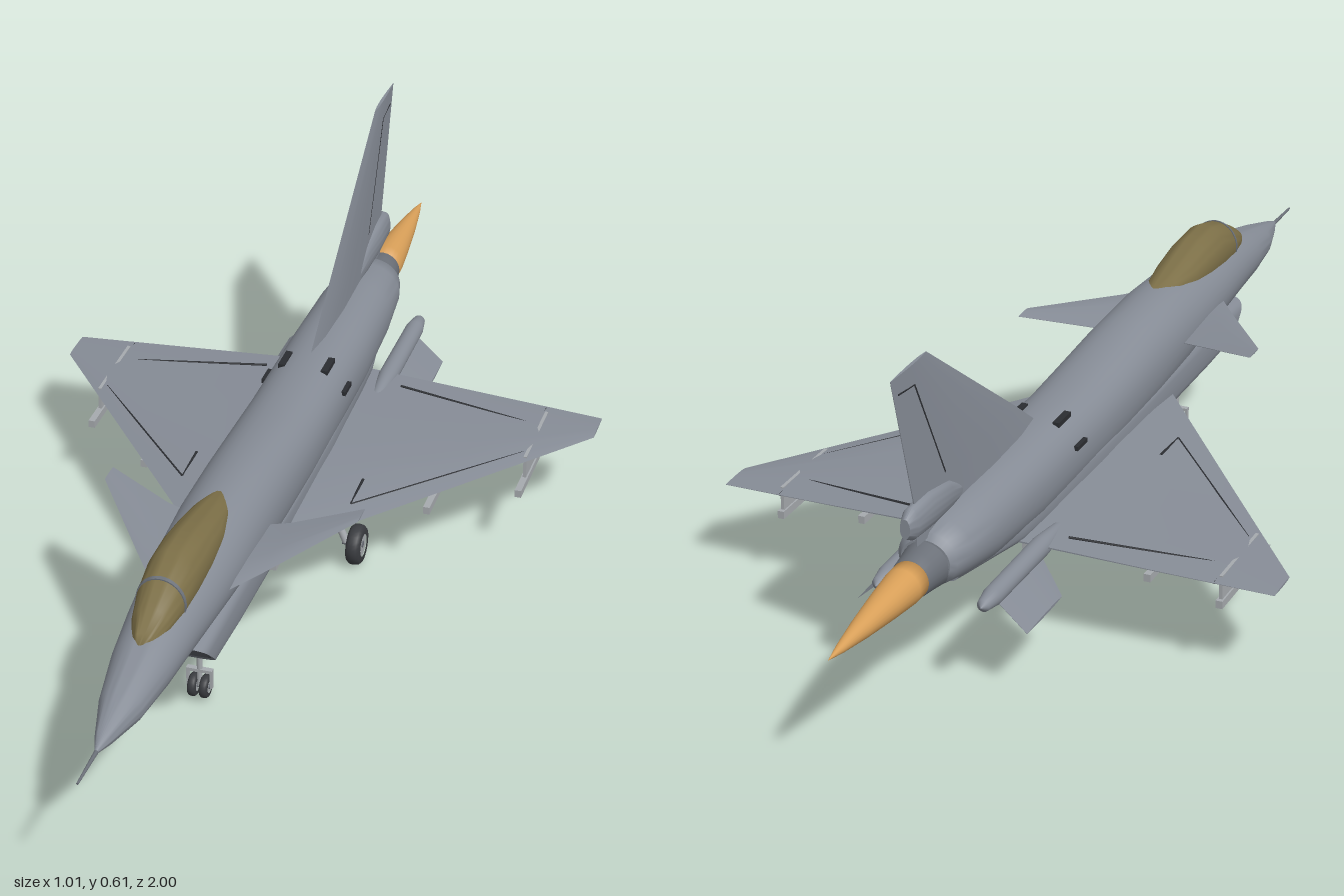
import * as THREE from 'three';
import { toCreasedNormals } from 'three/addons/utils/BufferGeometryUtils.js';

const mat = (name, color, side = THREE.FrontSide) => {
  const m = new THREE.MeshStandardMaterial({ color, side });
  m.name = name;
  return m;
};

// Skin a list of rings (arrays of [x, y, z]); ends are closed with fans when asked.
function skin(rings, crease = 0.6, capStart = true, capEnd = true) {
  const n = rings[0].length;
  const pos = rings.flat(2);
  const idx = [];
  for (let i = 0; i < rings.length - 1; i++) {
    for (let j = 0; j < n; j++) {
      const k = (j + 1) % n, a = i * n, b = a + n;
      idx.push(a + j, b + j, a + k, a + k, b + j, b + k);
    }
  }
  const cap = (r, flip) => {
    const c = pos.length / 3;
    pos.push(...[0, 1, 2].map(q => rings[r].reduce((s, p) => s + p[q], 0) / n));
    for (let j = 0; j < n; j++) {
      const a = r * n + j, b = r * n + (j + 1) % n;
      idx.push(c, flip ? b : a, flip ? a : b);
    }
  };
  if (capStart) cap(0, false);
  if (capEnd) cap(rings.length - 1, true);
  const g = new THREE.BufferGeometry();
  g.setAttribute('position', new THREE.Float32BufferAttribute(pos, 3));
  g.setIndex(idx);
  return toCreasedNormals(g, crease);
}

// Body section: superellipse; shear leans the ring forward with height.
function section([z, hw, top, bot, e = 2, shear = 0], n = 36) {
  const cy = (top + bot) / 2, hh = (top - bot) / 2;
  return Array.from({ length: n }, (_, j) => {
    const a = (j / n) * Math.PI * 2, c = Math.cos(a), s = Math.sin(a);
    const y = cy + hh * Math.sign(s) * Math.abs(s) ** (2 / e);
    return [hw * Math.sign(c) * Math.abs(c) ** (2 / e), y, z + shear * (y - bot)];
  });
}
const body = (rows, ...opt) => skin(rows.map(r => section(r)), ...opt);

// Lifting surface from rows of [span, height, leading z, trailing z, thickness].
function surface(rows) {
  return skin(rows.map(([x, y, le, te, t]) => {
    const at = (f, h) => [x, y + h * t / 2, le + (te - le) * f];
    return [at(0, 0), at(0.15, 0.75), at(0.4, 1), at(0.7, 0.7), at(1, 0.1),
      at(1, -0.1), at(0.7, -0.7), at(0.4, -1), at(0.15, -0.75)];
  }), 0.5);
}

// Rod between two points.
function rod(a, b, r, r2 = r) {
  const p = new THREE.Vector3(...a), d = new THREE.Vector3(...b).sub(p);
  const g = new THREE.CylinderGeometry(r2, r, d.length(), 14);
  g.applyQuaternion(new THREE.Quaternion().setFromUnitVectors(
    new THREE.Vector3(0, 1, 0), d.clone().normalize()));
  return g.translate(p.x + d.x / 2, p.y + d.y / 2, p.z + d.z / 2);
}
const box = (x, y, z, w, h, d) => new THREE.BoxGeometry(w, h, d).translate(x, y, z);

// Lathe whose profile runs along z, as [radius, z] with z increasing.
const spun = (pts, x, y) => new THREE.LatheGeometry(pts.map(p => new THREE.Vector2(...p)), 24)
  .rotateX(Math.PI / 2).translate(x, y, 0);

export function createModel() {
  const model = new THREE.Group();
  model.name = 'fighterJet';
  const grey = mat('airframeGrey', 0x868c96);
  const light = mat('pylonGrey', 0xa6aaae);
  const glass = mat('canopyOlive', 0x7c6f47);
  const flameMat = mat('flameOrange', 0xd89f58);
  const dark = mat('ductDark', 0x2b2d31, THREE.DoubleSide);
  const rubber = mat('tyreBlack', 0x3a3c40);
  const metal = mat('nozzleMetal', 0x6b7078);
  const add = (name, geo, m, parent = model) => {
    const mesh = new THREE.Mesh(geo, m);
    mesh.name = name;
    parent.add(mesh);
    return mesh;
  };

  // Fuselage and nose
  add('fuselage', body([
    [0.915, 0.003, 0.244, 0.237], [0.88, 0.015, 0.257, 0.227], [0.8, 0.037, 0.28, 0.213],
    [0.7, 0.052, 0.306, 0.207], [0.6, 0.061, 0.324, 0.204], [0.5, 0.069, 0.333, 0.2],
    [0.4, 0.074, 0.341, 0.19], [0.3, 0.077, 0.346, 0.18, 2.1], [0.15, 0.078, 0.34, 0.17, 2.2],
    [0, 0.078, 0.326, 0.17, 2.3], [-0.1, 0.077, 0.32, 0.17, 2.3], [-0.35, 0.075, 0.317, 0.172, 2.3],
    [-0.52, 0.07, 0.315, 0.182, 2.2], [-0.61, 0.063, 0.308, 0.195], [-0.65, 0.053, 0.298, 0.203],
    [-0.66, 0.044, 0.287, 0.21]]), grey);
  add('noseProbe', rod([0, 0.24, 0.9], [0, 0.24, 1], 0.004, 0.002), metal);

  // Canopy with a windscreen frame
  const canopyRows = [
    [0.715, 0.004, 0.3, 0.29], [0.69, 0.019, 0.314, 0.282], [0.65, 0.033, 0.338, 0.275],
    [0.6, 0.042, 0.363, 0.27], [0.54, 0.046, 0.379, 0.27], [0.47, 0.046, 0.376, 0.275],
    [0.4, 0.042, 0.364, 0.285], [0.34, 0.033, 0.353, 0.3], [0.285, 0.01, 0.344, 0.33]];
  add('canopy', body(canopyRows, 1.2), glass);
  add('canopyFrame', body([[0.603, 0.0428, 0.3637, 0.27], [0.597, 0.0432, 0.3655, 0.27]]), metal);

  // Chin intake: outer shell, lip and dark duct
  add('intakeShell', body([
    [0.505, 0.068, 0.225, 0.15, 4, 1.1], [0.4, 0.073, 0.24, 0.149, 4], [0.1, 0.076, 0.24, 0.15, 4],
    [-0.12, 0.076, 0.24, 0.158, 4], [-0.42, 0.066, 0.24, 0.172, 3], [-0.62, 0.04, 0.24, 0.197, 3]],
  0.6, false), grey);
  add('intakeLip', body([
    [0.51, 0.061, 0.22, 0.157, 4, 1.1], [0.505, 0.068, 0.225, 0.15, 4, 1.1]], 0.6, false, false), grey)
    .material = metal;
  add('intakeDuct', body([
    [0.51, 0.061, 0.22, 0.157, 4, 1.1], [0.38, 0.055, 0.22, 0.16, 4]], 0.6, false, true), dark);

  // Engine nozzle and flame
  add('nozzle', spun([[0.03, -0.715], [0.034, -0.715], [0.037, -0.69], [0.043, -0.65]], 0, 0.243), metal);
  add('flame', spun([[0.0001, -1], [0.008, -0.96], [0.018, -0.89], [0.027, -0.81], [0.033, -0.745],
    [0.033, -0.712], [0.0001, -0.712]], 0, 0.243), flameMat);

  // Tail fin, its foot fairing and rudder seams
  add('tailFin', surface([
    [0.29, 0, -0.2, -0.69, 0.022], [0.37, 0, -0.306, -0.697, 0.018], [0.612, 0, -0.642, -0.768, 0.006]])
    .rotateZ(Math.PI / 2), grey);
  add('tailFairing', body([
    [-0.52, 0.006, 0.33, 0.305], [-0.58, 0.014, 0.362, 0.305], [-0.65, 0.017, 0.371, 0.306],
    [-0.71, 0.016, 0.369, 0.311], [-0.73, 0.009, 0.357, 0.322]]), grey);
  add('rudderSeamRear', rod([0, 0.38, -0.592], [0, 0.575, -0.69], 0.0062, 0.0038), dark);
  add('rudderSeamTop', rod([0, 0.575, -0.69], [0, 0.58, -0.745], 0.0035, 0.002), dark);

  // Everything that is mirrored about the centre plane
  for (const side of [1, -1]) {
    const half = new THREE.Group();
    half.name = side > 0 ? 'leftSide' : 'rightSide';
    half.scale.x = side;
    model.add(half);
    const put = (name, geo, m) => add(name, geo, m, half);

    put('wing', surface([
      [0.04, 0.188, 0.25, -0.431, 0.03], [0.09, 0.186, 0.187, -0.429, 0.026],
      [0.3, 0.178, -0.08, -0.42, 0.013], [0.505, 0.171, -0.34, -0.41, 0.004]]), grey);
    put('canard', surface([
      [0.055, 0.265, 0.485, 0.26, 0.012], [0.11, 0.271, 0.405, 0.245, 0.01],
      [0.226, 0.291, 0.237, 0.195, 0.003]]), grey);
    put('ventralFin', surface([
      [0.085, 0.184, -0.42, -0.605, 0.01], [0.153, 0.122, -0.465, -0.605, 0.005]]), grey);

    // Tail booms beside the engine
    put('tailBoom', spun([[0.0001, -0.655], [0.011, -0.645], [0.017, -0.61], [0.018, -0.42],
      [0.011, -0.35], [0.0001, -0.32]], 0.094, 0.181), grey);

    // Thin seams of the control surfaces, sunk into the wing skin
    const seam = (a, b, ya, yb) => put('wingSeam', rod([a[0], ya, a[1]], [b[0], yb, b[1]], 0.0025), dark);
    seam([0.155, -0.045], [0.155, 0.035], 0.193, 0.189);
    seam([0.155, 0.035], [0.41, -0.26], 0.189, 0.175);
    seam([0.13, -0.385], [0.4, -0.345], 0.188, 0.175);
    seam([0.4, -0.345], [0.4, -0.41], 0.175, 0.173);

    // Spine vents
    put('spineVent', box(0.04, 0.312, -0.21, 0.012, 0.009, 0.05).rotateZ(0), dark);
    put('sideVent', box(0.075, 0.272, -0.21, 0.008, 0.008, 0.04), dark);

    // Wing pylons with launch rails: x, front z, rear z, bottom y
    for (const [x, front, rear, low] of [
      [0.405, -0.18, -0.4, 0.121], [0.265, -0.07, -0.37, 0.126], [0.125, 0.02, -0.19, 0.152]]) {
      const mid = (front + rear) / 2, len = front - rear;
      put('pylon', box(x, (low + 0.182) / 2, mid - 0.02, 0.006, 0.174 - low, len * 0.75), light);
      put('launchRail', box(x, low + 0.007, mid, 0.012, 0.014, len), light);
    }
    put('bellyRail', box(0.055, 0.137, 0.075, 0.024, 0.012, 0.23), light);
    put('bellyPylon', box(0.055, 0.148, 0.075, 0.01, 0.02, 0.16), light);
    put('rearBellyRail', box(0.05, 0.152, -0.28, 0.02, 0.03, 0.19), light);

    // Main landing gear
    put('mainStrut', rod([0.068, 0.17, -0.07], [0.092, 0.1, -0.07], 0.011), light);
    put('mainPiston', rod([0.088, 0.11, -0.07], [0.118, 0.04, -0.07], 0.007), light);
    put('mainAxle', rod([0.112, 0.04, -0.07], [0.15, 0.04, -0.07], 0.006), metal);
    const tyre = (x, y, z, r, w) => {
      const pts = [[r * 0.55, -w], [r * 0.85, -w], [r * 0.97, -w * 0.6], [r, 0],
        [r * 0.97, w * 0.6], [r * 0.85, w], [r * 0.55, w]].map(p => new THREE.Vector2(...p));
      put('tyre', new THREE.LatheGeometry(pts, 28).rotateZ(-Math.PI / 2).translate(x, y, z), rubber);
      put('wheelHub', rod([x - w * 0.85, y, z], [x + w * 0.85, y, z], r * 0.58), light);
    };
    tyre(0.138, 0.0375, -0.07, 0.0375, 0.0125);

    // Nose gear: twin wheels and fork arm
    tyre(0.0105, 0.025, 0.41, 0.021, 0.007);
    put('noseForkArm', box(0.021, 0.041, 0.41, 0.004, 0.036, 0.008), light);
  }
  add('noseForkBridge', box(0, 0.057, 0.41, 0.046, 0.006, 0.01), light);
  add('noseStrut', rod([0, 0.1, 0.41], [0, 0.17, 0.41], 0.008), light);
  add('nosePiston', rod([0, 0.025, 0.41], [0, 0.11, 0.41], 0.005), light);
  add('noseAxle', rod([-0.022, 0.025, 0.41], [0.022, 0.025, 0.41], 0.004), metal);
  return model;
}
